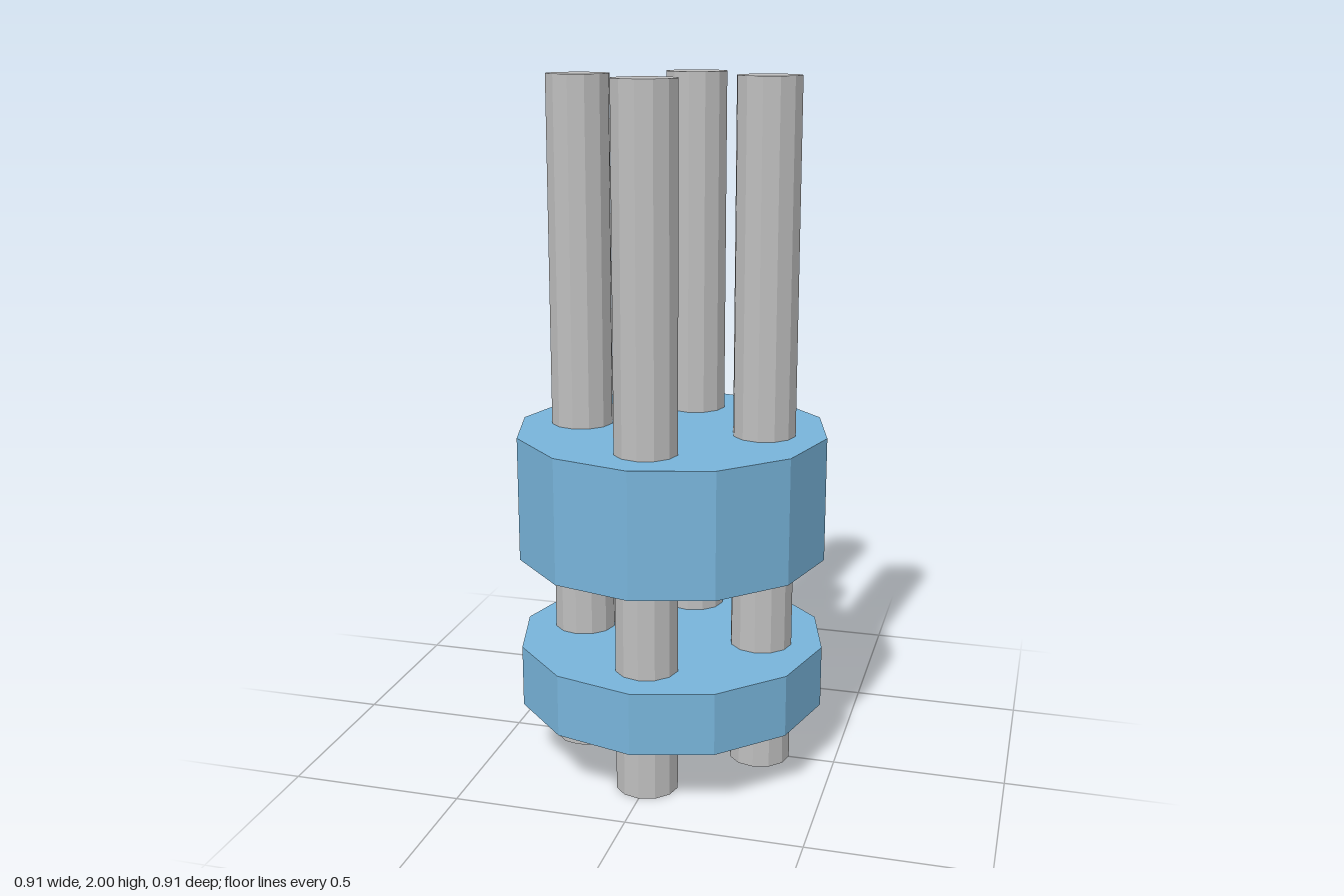
import * as THREE from 'three';

const SIDES = 12;

export function createModel() {
  const group = new THREE.Group();
  const blue = new THREE.MeshStandardMaterial({ color: 0x78b4da, flatShading: true });
  blue.name = 'blue plate';
  const grey = new THREE.MeshStandardMaterial({ color: 0xbebebe, flatShading: true });
  grey.name = 'grey rod';

  // Two twelve-sided plates: [name, bottom, top]
  for (const [name, y0, y1] of [['lowerPlate', 0.182, 0.364], ['upperPlate', 0.636, 1]]) {
    const plate = new THREE.Mesh(new THREE.CylinderGeometry(0.4545, 0.4545, y1 - y0, SIDES), blue);
    plate.name = name;
    plate.position.y = (y0 + y1) / 2;
    group.add(plate);
  }

  // Four rods, closed on top and hollow from below
  const bore = 0.064, radius = 0.091;
  const profile = [
    [0, 1.91], [bore, 1.91], [bore, 0], [radius, 0], [radius, 2], [0, 2],
  ].map(([x, y]) => new THREE.Vector2(x, y));
  const rodGeometry = new THREE.LatheGeometry(profile, SIDES);
  ['frontRod', 'leftRod', 'backRod', 'rightRod'].forEach((name, i) => {
    const angle = (i * Math.PI) / 2;
    const rod = new THREE.Mesh(rodGeometry, grey);
    rod.name = name;
    rod.position.set(0.2727 * Math.sin(angle), 0, 0.2727 * Math.cos(angle));
    group.add(rod);
  });

  return group;
}
